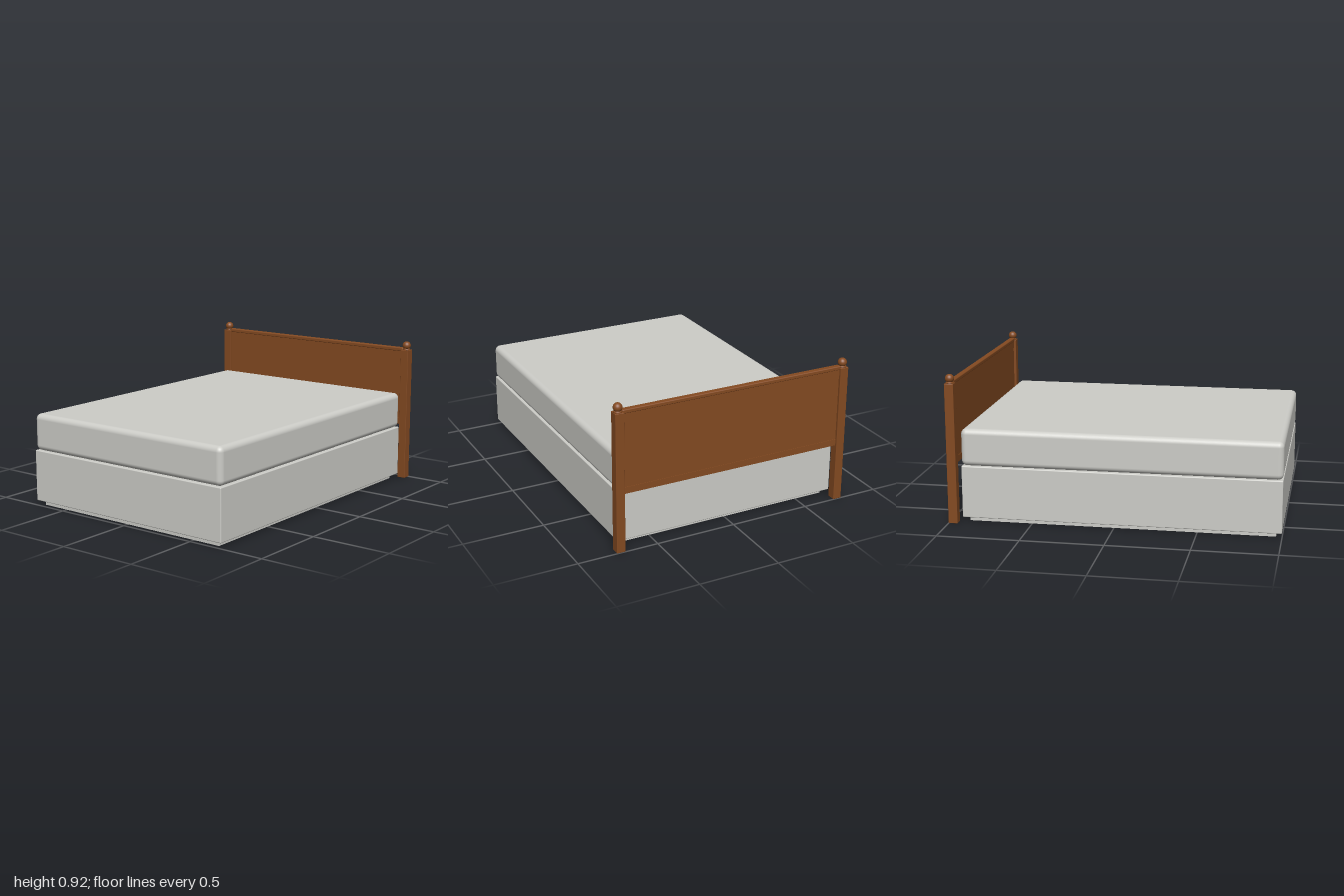
import * as THREE from 'three';
import { RoundedBoxGeometry } from 'three/addons/geometries/RoundedBoxGeometry.js';

export function createModel() {
  const model = new THREE.Group();
  model.name = 'bed';

  const fabric = new THREE.MeshStandardMaterial({ color: 0xcdcdc8 });
  fabric.name = 'pale grey fabric';
  const wood = new THREE.MeshStandardMaterial({ color: 0x844a21 });
  wood.name = 'brown wood';

  const add = (parent, name, geometry, material, x, y, z) => {
    const mesh = new THREE.Mesh(geometry, material);
    mesh.name = name;
    mesh.position.set(x, y, z);
    parent.add(mesh);
    return mesh;
  };

  // Box given by its ranges; a radius rounds the edges
  const block = (parent, name, material, [x0, x1], [y0, y1], [z0, z1], radius = 0) => {
    const size = [x1 - x0, y1 - y0, z1 - z0];
    const geometry = radius
      ? new RoundedBoxGeometry(...size, 5, radius)
      : new THREE.BoxGeometry(...size);
    return add(parent, name, geometry, material, (x0 + x1) / 2, (y0 + y1) / 2, (z0 + z1) / 2);
  };

  // Plinth, base and mattress
  block(model, 'plinth', fabric, [-0.68, 0.68], [0, 0.04], [-0.885, 0.965]);
  block(model, 'boxBase', fabric, [-0.72, 0.72], [0.03, 0.35], [-0.922, 1], 0.006);
  block(model, 'mattress', fabric, [-0.72, 0.72], [0.35, 0.578], [-0.924, 1], 0.034);

  // Headboard: thin panel between thicker rails
  const headboard = new THREE.Group();
  headboard.name = 'headboard';
  model.add(headboard);
  const zMid = -0.972;
  const span = [-0.71, 0.71];
  const depth = (half) => [zMid - half, zMid + half];
  block(headboard, 'panel', wood, span, [0.38, 0.82], depth(0.012));
  block(headboard, 'topRail', wood, span, [0.805, 0.852], depth(0.015));
  block(headboard, 'topCap', wood, span, [0.848, 0.872], depth(0.018), 0.006);
  block(headboard, 'bottomRail', wood, span, [0.36, 0.4], depth(0.015));

  // Finial profile: collar, neck and ball
  const profile = [
    [0, 0], [0.024, 0], [0.025, 0.005], [0.021, 0.009], [0.018, 0.011],
  ].map(([r, y]) => new THREE.Vector2(r, y));
  const ballRadius = 0.027;
  for (let i = 0; i <= 14; i++) {
    const a = THREE.MathUtils.lerp(-0.85, Math.PI / 2, i / 14);
    profile.push(new THREE.Vector2(
      i === 14 ? 0 : ballRadius * Math.cos(a), 0.029 + ballRadius * Math.sin(a)));
  }
  const finial = new THREE.LatheGeometry(profile, 28);

  // Mirrored posts with finials
  for (const [side, s] of [['left', 1], ['right', -1]]) {
    const x = s * 0.731;
    block(headboard, side + 'Post', wood, [x - 0.027, x + 0.027], [0, 0.86], depth(0.028), 0.003);
    add(headboard, side + 'Finial', finial, wood, x, 0.859, zMid);
  }

  return model;
}
